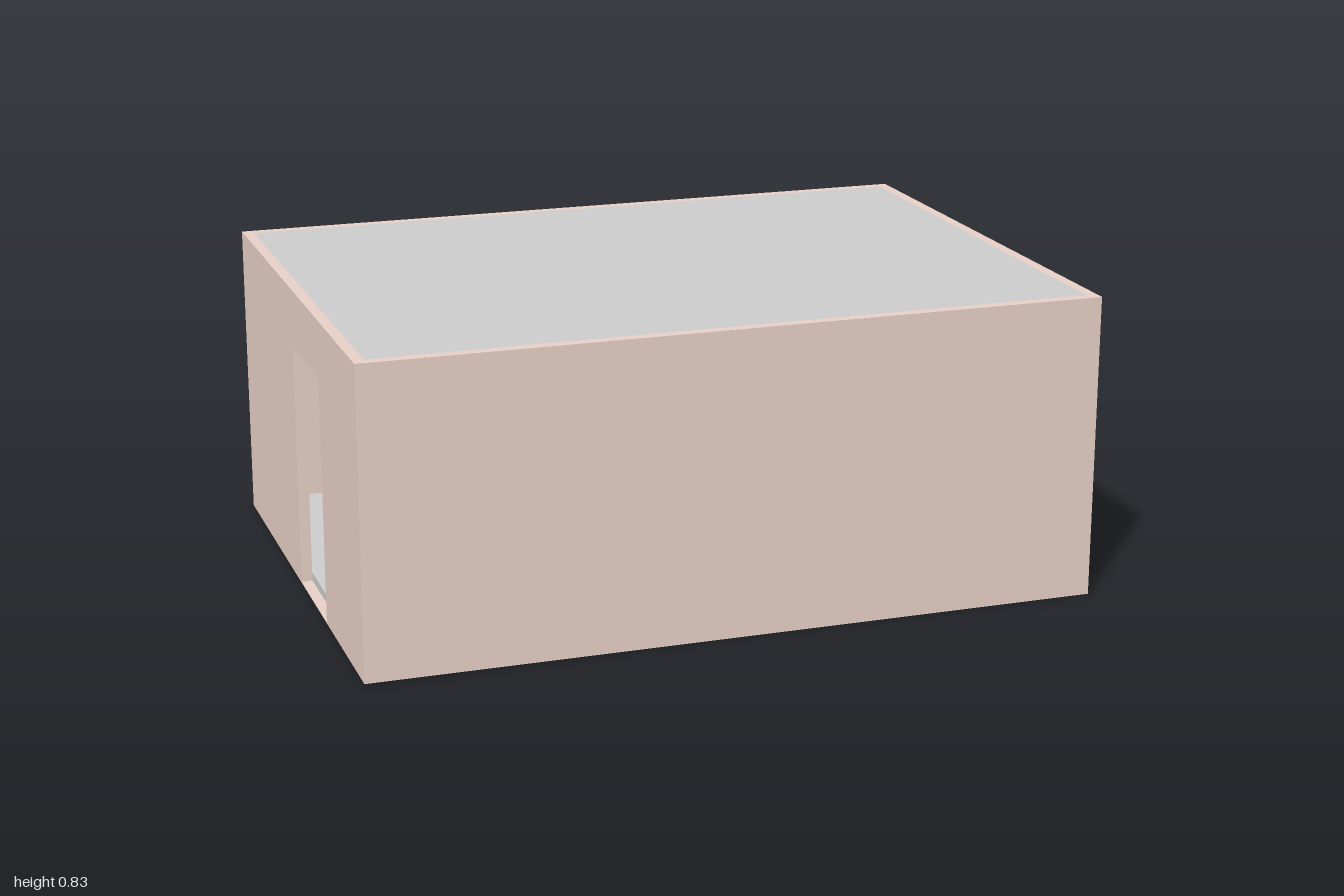
import * as THREE from 'three';

const W = 2, D = 1.45, H = 0.83, T = 0.03, SLAB = 0.027;

const wallMat = new THREE.MeshStandardMaterial({ color: 0xe6cfc6 });
const slabMat = new THREE.MeshStandardMaterial({ color: 0xcccccc });

// Corners of a rectangle, counter-clockwise from lower left
const rect = (x0, x1, y0, y1) => [[x0, y0], [x1, y0], [x1, y1], [x0, y1]]
  .map(([x, y]) => new THREE.Vector2(x, y));

// Mitred wall: outer face at the given distance, turned about y.
// holes are closed openings; notch is a doorway cut down to the ground.
function wall(name, length, distance, turn, { holes = [], notch } = {}) {
  const h = length / 2;
  const outline = rect(-h, h, 0, H);
  if (notch) {
    const [a, b, top] = notch;
    const [p, q, r, s] = rect(a, b, 0, top);
    outline.splice(1, 0, p, s, r, q);
  }
  const shape = new THREE.Shape(outline);
  for (const o of holes) shape.holes.push(new THREE.Path(rect(...o).reverse()));
  const geo = new THREE.ExtrudeGeometry(shape, { depth: T, bevelEnabled: false });

  // Pull the inner face in at both ends so that the corners meet on a mitre
  const pos = geo.attributes.position;
  for (let i = 0; i < pos.count; i++) {
    const x = pos.getX(i);
    if (pos.getZ(i) < T / 2 && Math.abs(x) > h - 1e-4) pos.setX(i, x - Math.sign(x) * T);
  }
  geo.translate(0, 0, distance - T);
  geo.rotateY(turn);
  geo.computeVertexNormals();
  const mesh = new THREE.Mesh(geo, wallMat);
  mesh.name = name;
  return mesh;
}

// Flat plate fitted between the walls
function slab(name, y) {
  const mesh = new THREE.Mesh(new THREE.BoxGeometry(W - 2 * T, SLAB, D - 2 * T), slabMat);
  mesh.name = name;
  mesh.position.y = y;
  return mesh;
}

export function createModel() {
  const room = new THREE.Group();
  room.name = 'room';

  // Walls: two windows at the back, a doorway on each side
  room.add(
    wall('frontWall', W, D / 2, 0),
    wall('backWall', W, D / 2, Math.PI, {
      holes: [[-0.655, -0.175, 0.265, 0.66], [0.175, 0.655, 0.265, 0.66]],
    }),
    wall('doorWallLeft', D, W / 2, Math.PI / 2, { notch: [0.25, 0.573, 0.67] }),
    wall('doorWallRight', D, W / 2, -Math.PI / 2, { holes: [[-0.035, 0.288, 0.003, 0.67]] }),
  );

  // Floor and roof
  room.add(slab('floor', SLAB / 2), slab('roof', H - SLAB / 2));
  return room;
}
